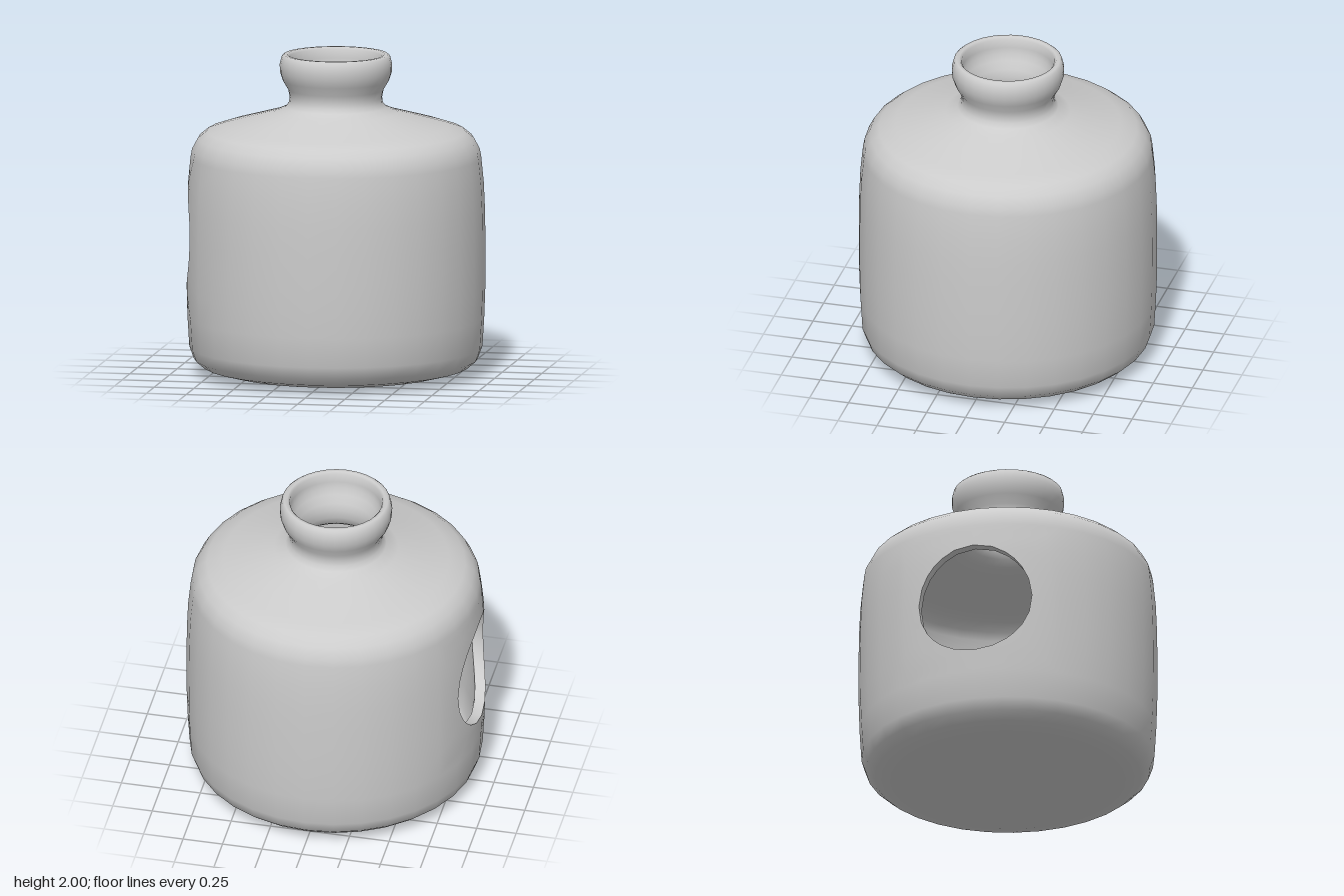
import * as THREE from 'three';
import { toCreasedNormals } from 'three/addons/utils/BufferGeometryUtils.js';

const SEGMENTS = 32;
const WALL = 0.065;
const HOLE = { y: 0.86, radius: 0.36, halfSpan: 3 }; // halfSpan in segments

// Side wall rows [radius, y] around the opening
const band = [[0.918, 0.36], [0.924, 0.53], [0.925, 0.7], [0.925, 0.87], [0.922, 1.04], [0.915, 1.2], [0.899, 1.36]];
const innerBand = band.map(([r, y]) => [r - WALL, y]);

const outerBase = [[0, 0], [0.4, 0.006], [0.7, 0.02], [0.825, 0.053], [0.88, 0.1], [0.907, 0.175]];
const outerTop = [
  [0.89, 1.41], [0.855, 1.475], [0.8, 1.52], [0.7, 1.553], [0.386, 1.64], [0.312, 1.672], [0.291, 1.7],
  [0.286, 1.735], [0.295, 1.78], [0.328, 1.835], [0.346, 1.89], [0.348, 1.94], [0.336, 1.988], [0.322, 2],
];
const innerTop = [
  [0.3, 2], [0.287, 1.985], [0.285, 1.93], [0.28, 1.89], [0.262, 1.85], [0.235, 1.8], [0.223, 1.755],
  [0.225, 1.7], [0.244, 1.645], [0.285, 1.61], [0.37, 1.578], [0.68, 1.487], [0.765, 1.458], [0.81, 1.41],
];
const innerBase = [[0.843, 0.19], [0.82, 0.14], [0.78, 0.108], [0.68, 0.085], [0, 0.07]];

// Angle zero points along -x, where the opening is
function ringPoint([r, y], k) {
  const a = (k / SEGMENTS) * Math.PI * 2;
  return [-r * Math.cos(a), y, r * Math.sin(a)];
}

// Radius of the wall at a height within the band
function radiusAt(rows, y) {
  const j = Math.min(rows.length - 2, Math.max(0, rows.findIndex((p) => p[1] > y) - 1));
  const [r0, y0] = rows[j], [r1, y1] = rows[j + 1];
  return r0 + ((r1 - r0) * (y - y0)) / (y1 - y0);
}

function createJarGeometry() {
  const positions = [];
  const quad = (a, b, c, d) => positions.push(...a, ...b, ...c, ...a, ...c, ...d);
  const { halfSpan } = HOLE;

  // Revolved shell, leaving out the sector that holds the opening
  const profile = [...outerBase, ...band, ...outerTop, ...innerTop, ...[...innerBand].reverse(), ...innerBase];
  const inBand = (p) => band.includes(p) || innerBand.includes(p);
  for (let j = 0; j < profile.length - 1; j++) {
    const p = profile[j], q = profile[j + 1];
    for (let k = -SEGMENTS / 2; k < SEGMENTS / 2; k++) {
      if (inBand(p) && inBand(q) && k >= -halfSpan && k < halfSpan) continue;
      const a = ringPoint(p, k), b = ringPoint(p, k + 1);
      const c = ringPoint(q, k + 1), d = ringPoint(q, k);
      if (p[0] === 0) positions.push(...a, ...c, ...d);
      else if (q[0] === 0) positions.push(...a, ...b, ...c);
      else quad(a, b, c, d);
    }
  }

  // Border of the missing sector as [segment, row], counter-clockwise
  const border = [];
  const last = band.length - 1;
  for (let k = -halfSpan; k < halfSpan; k++) border.push([k, 0]);
  for (let j = 0; j < last; j++) border.push([halfSpan, j]);
  for (let k = halfSpan; k > -halfSpan; k--) border.push([k, last]);
  for (let j = last; j > 0; j--) border.push([-halfSpan, j]);

  // Round rim points, shared by both skins
  const rim = border.map(([k, j]) => {
    const [, y, z] = ringPoint(band[j], k);
    const a = Math.atan2(y - HOLE.y, z);
    return [HOLE.y + HOLE.radius * Math.sin(a), HOLE.radius * Math.cos(a)];
  });

  // Patch from the border to the round rim, following the wall
  const steps = 4;
  function patch(rows, outward) {
    const loops = [];
    for (let s = 0; s <= steps; s++) {
      loops.push(border.map(([k, j], i) => {
        const edge = ringPoint(rows[j], k);
        if (s === 0) return edge;
        const t = s / steps;
        const y = edge[1] + (rim[i][0] - edge[1]) * t;
        const z = edge[2] + (rim[i][1] - edge[2]) * t;
        return [-Math.sqrt(radiusAt(rows, y) ** 2 - z * z), y, z];
      }));
    }
    for (let s = 0; s < steps; s++) {
      border.forEach((_, i) => {
        const n = (i + 1) % border.length;
        const corners = [loops[s][i], loops[s][n], loops[s + 1][n], loops[s + 1][i]];
        quad(...(outward ? corners : corners.reverse()));
      });
    }
    return loops[steps];
  }
  const outerRim = patch(band, true);
  const innerRim = patch(innerBand, false);

  // Cut edge through the wall
  outerRim.forEach((p, i) => {
    const n = (i + 1) % outerRim.length;
    quad(p, outerRim[n], innerRim[n], innerRim[i]);
  });

  const geometry = new THREE.BufferGeometry();
  geometry.setAttribute('position', new THREE.Float32BufferAttribute(positions, 3));
  return toCreasedNormals(geometry, 0.9);
}

export function createModel() {
  const group = new THREE.Group();
  group.name = 'jar';
  const shell = new THREE.Mesh(createJarGeometry(), new THREE.MeshStandardMaterial({ color: 0xcccccc }));
  shell.name = 'jarShell';
  group.add(shell);
  return group;
}
